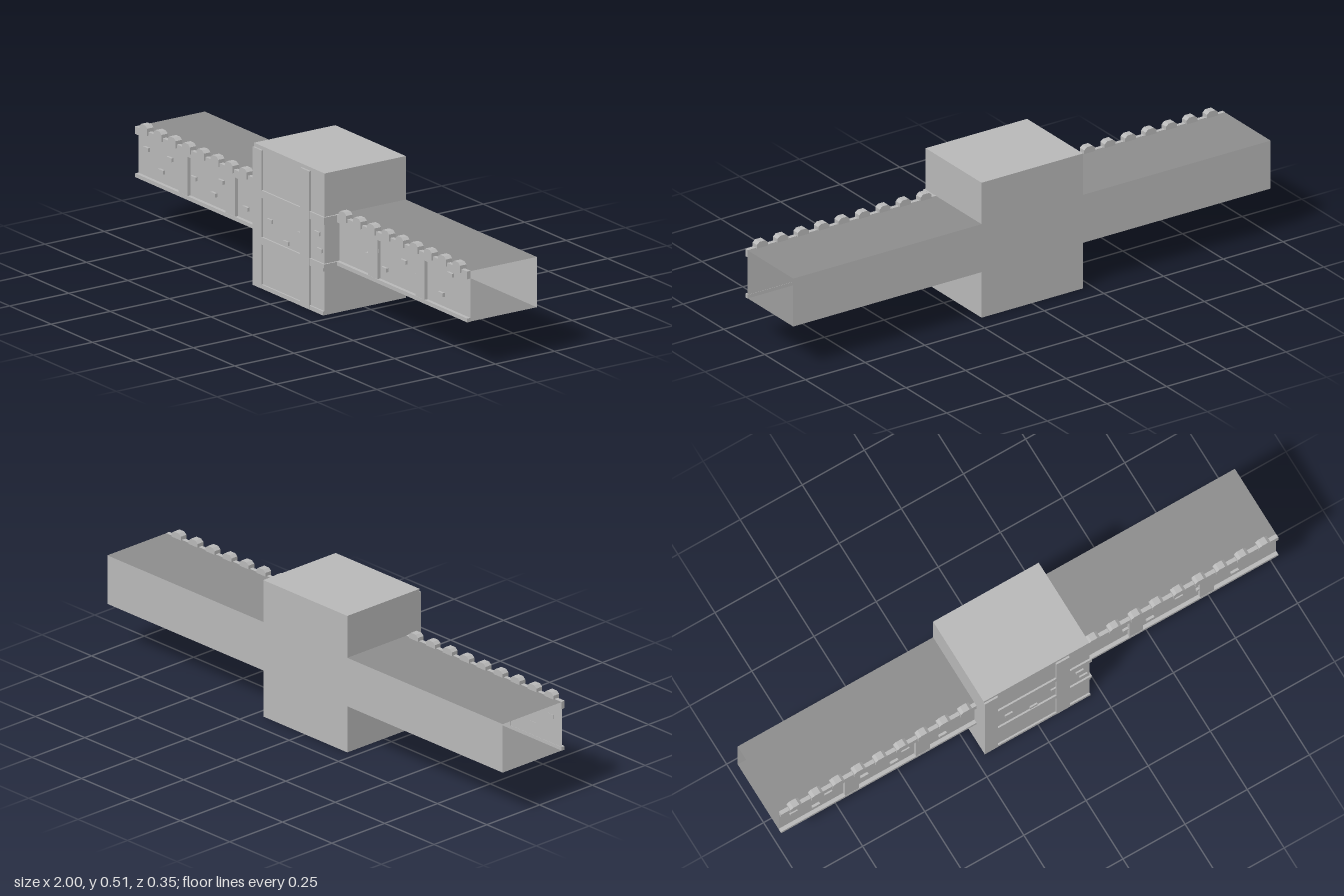
import * as THREE from 'three';

export function createModel() {
  const model = new THREE.Group();
  const stone = new THREE.MeshStandardMaterial({ color: 0xb8b8b8, side: THREE.DoubleSide });
  stone.name = 'stone';
  const slab = new THREE.MeshStandardMaterial({ color: 0x8c8c8c, side: THREE.DoubleSide });
  slab.name = 'darkStone';

  const add = (name, geometry, material, parent = model) => {
    const mesh = new THREE.Mesh(geometry, material);
    mesh.name = name;
    parent.add(mesh);
    return mesh;
  };
  const boxGeo = (x0, x1, y0, y1, z0, z1) =>
    new THREE.BoxGeometry(x1 - x0, y1 - y0, z1 - z0)
      .translate((x0 + x1) / 2, (y0 + y1) / 2, (z0 + z1) / 2);
  const block = (name, ...b) => add(name, boxGeo(...b), stone);

  // Hollow shell: only the listed faces of a box (0 +x, 1 -x, 2 top, 3 bottom, 4 front, 5 back)
  const shell = (name, bounds, faces) => {
    const geo = boxGeo(...bounds);
    geo.clearGroups();
    for (const [face, material] of faces) geo.addGroup(face * 6, 6, material);
    add(name, geo, [stone, slab]);
  };

  // Tower, open underneath
  shell('tower', [-0.214, 0.211, 0, 0.515, -0.175, 0.168],
    [[0, 0], [1, 0], [2, 0], [4, 0], [5, 0]]);

  // Raised frame on the tower front
  block('towerRib', -0.214, -0.16, 0, 0.502, 0.167, 0.175);
  block('towerRib', 0.074, 0.128, 0, 0.502, 0.167, 0.175);
  for (const [y0, y1] of [[0, 0.015], [0.16, 0.187], [0.33, 0.357]])
    block('towerBand', -0.214, 0.211, y0, y1, 0.167, 0.1745);

  // Bands turning the corner onto the tower side
  for (const [y0, y1] of [[0.173, 0.187], [0.33, 0.357]])
    block('towerSideBand', 0.205, 0.217, y0, y1, 0.11, 0.1745);

  // Merlon with clipped upper corners
  const outline = new THREE.Shape([
    [-0.023, 0.345], [0.023, 0.345], [0.023, 0.371], [0.012, 0.38], [-0.012, 0.38], [-0.023, 0.371],
  ].map(([x, y]) => new THREE.Vector2(x, y)));
  const merlonGeo = new THREE.ExtrudeGeometry(outline, { depth: 0.027, bevelEnabled: false })
    .translate(0, 0, 0.098);

  // Wing walls, open at the outer ends
  for (const side of [-1, 1]) {
    const span = (a, b) => (side > 0 ? [a, b] : [-b, -a]);
    shell('wing', [...span(0.211, 1), 0.174, 0.357, -0.175, 0.105],
      [[2, 1], [3, 1], [4, 0], [5, 0]]);
    block('wingTopBand', ...span(0.211, 1), 0.33, 0.358, 0.104, 0.119);
    block('wingBottomBand', ...span(0.211, 1), 0.173, 0.187, 0.104, 0.119);
    for (const x of [0.429, 0.714])
      block('wingRib', ...span(x - 0.028, x + 0.028), 0.187, 0.33, 0.104, 0.118);
    for (let i = 0; i < 9; i++)
      add('merlon', merlonGeo, stone).position.x = side * (0.257 + i * 0.0857);
  }

  // Single raised stones scattered over the walls: [x, y]
  const stones = [
    [-0.945, 0.288], [-0.805, 0.288], [-0.855, 0.23], [-0.66, 0.257], [-0.495, 0.288],
    [-0.54, 0.23], [-0.427, 0.257], [-0.345, 0.23], [-0.115, 0.257], [-0.016, 0.203],
    [0.07, 0.257], [0.17, 0.288], [0.185, 0.23], [0.395, 0.257], [0.443, 0.288],
    [0.49, 0.23], [0.605, 0.288], [0.69, 0.257], [0.83, 0.23], [0.885, 0.315],
  ];
  for (const [x, y] of stones) {
    const z = Math.abs(x) < 0.211 ? 0.168 : 0.108;
    block('raisedStone', x - 0.015, x + 0.015, y - 0.007, y + 0.007, z - 0.004, z + 0.006);
  }
  return model;
}
